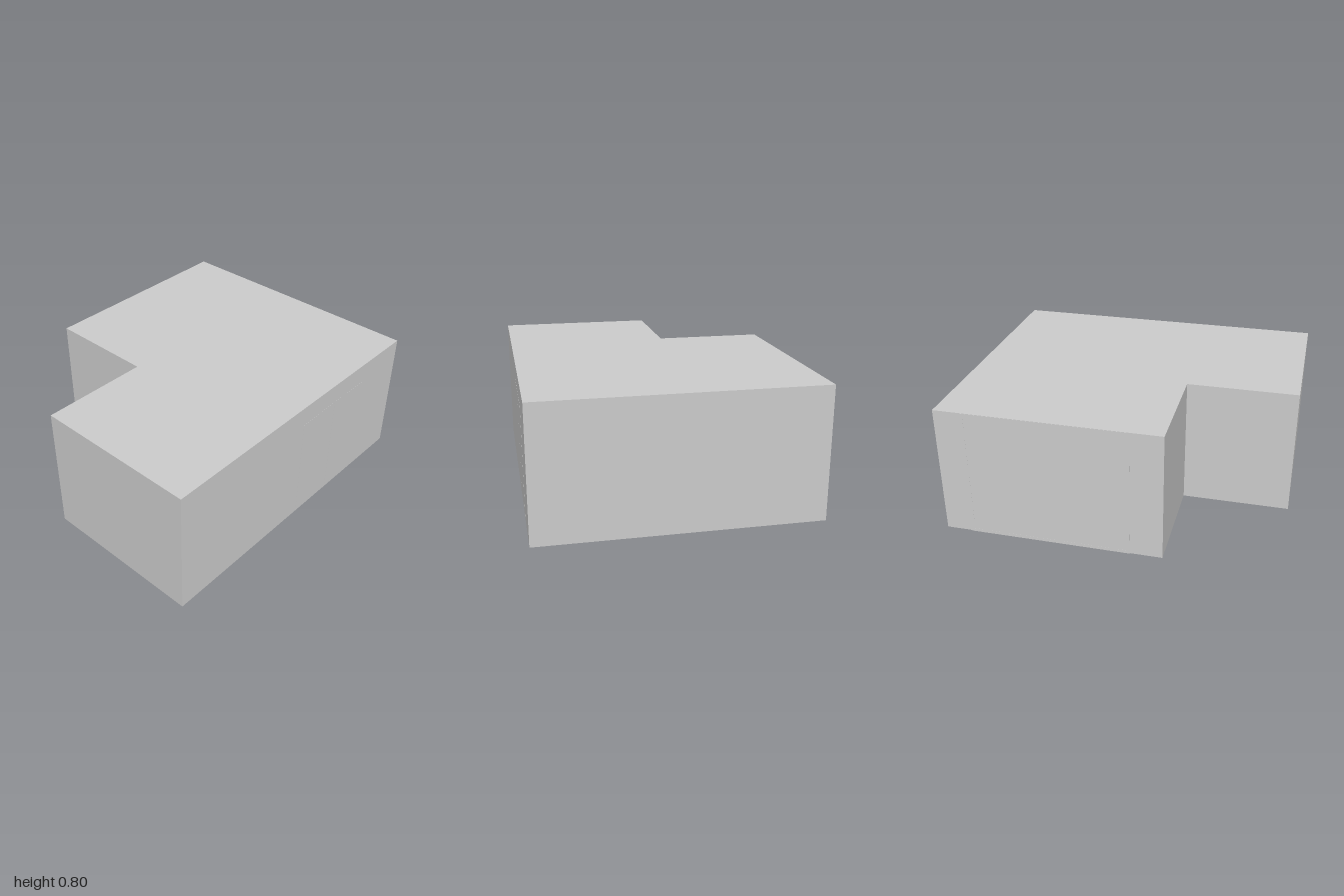
import * as THREE from 'three';

export function createModel() {
  const model = new THREE.Group();
  const material = new THREE.MeshStandardMaterial({ color: 0xcccccc, flatShading: true });

  // Box given by its lower and upper corners
  function box(parent, name, [x0, y0, z0], [x1, y1, z1]) {
    const mesh = new THREE.Mesh(new THREE.BoxGeometry(x1 - x0, y1 - y0, z1 - z0), material);
    mesh.position.set((x0 + x1) / 2, (y0 + y1) / 2, (z0 + z1) / 2);
    mesh.name = name;
    parent.add(mesh);
  }

  // L-shaped building; the plan is drawn as (x, -z)
  const front = 0.833, back = -0.833, base = 0.003, height = 0.8;
  const plan = new THREE.Shape(
    [[-1, -front], [1, -front], [1, -back], [-0.333, -back], [-0.333, 0.167], [-1, 0.167]]
      .map(([x, y]) => new THREE.Vector2(x, y)));
  const building = new THREE.ExtrudeGeometry(plan, { depth: height - base, bevelEnabled: false });
  building.rotateX(-Math.PI / 2).translate(0, base, 0);
  const body = new THREE.Mesh(building, material);
  body.name = 'building';
  model.add(body);

  // Double door, almost flush with the front wall
  const door = new THREE.Group();
  door.name = 'frontDoor';
  const doorCentre = 0.328, leafWidth = 0.305, gap = 0.001;
  for (const side of [-1, 1]) {
    const a = doorCentre + side * gap, b = doorCentre + side * leafWidth;
    box(door, side < 0 ? 'rightDoorLeaf' : 'leftDoorLeaf',
      [Math.min(a, b), 0.01, front - 0.03], [Math.max(a, b), 0.675, front + 0.0006]);
  }
  model.add(door);

  // Large window in the back wall: frame bars around a pane
  const backWindow = new THREE.Group();
  backWindow.name = 'backWindow';
  const x0 = -0.14, x1 = 0.84, y0 = 0, y1 = 0.798, bar = 0.02;
  const outer = back - 0.001, inner = back + 0.03;
  for (const x of [x0, x1 - bar]) box(backWindow, 'windowJamb', [x, y0, outer], [x + bar, y1, inner]);
  for (const y of [y0, y1 - bar]) box(backWindow, 'windowRail', [x0 + bar, y, outer], [x1 - bar, y + bar, inner]);
  box(backWindow, 'windowPane', [x0 + bar, y0 + bar, back - 0.0005], [x1 - bar, y1 - bar, back + 0.02]);
  model.add(backWindow);

  return model;
}
